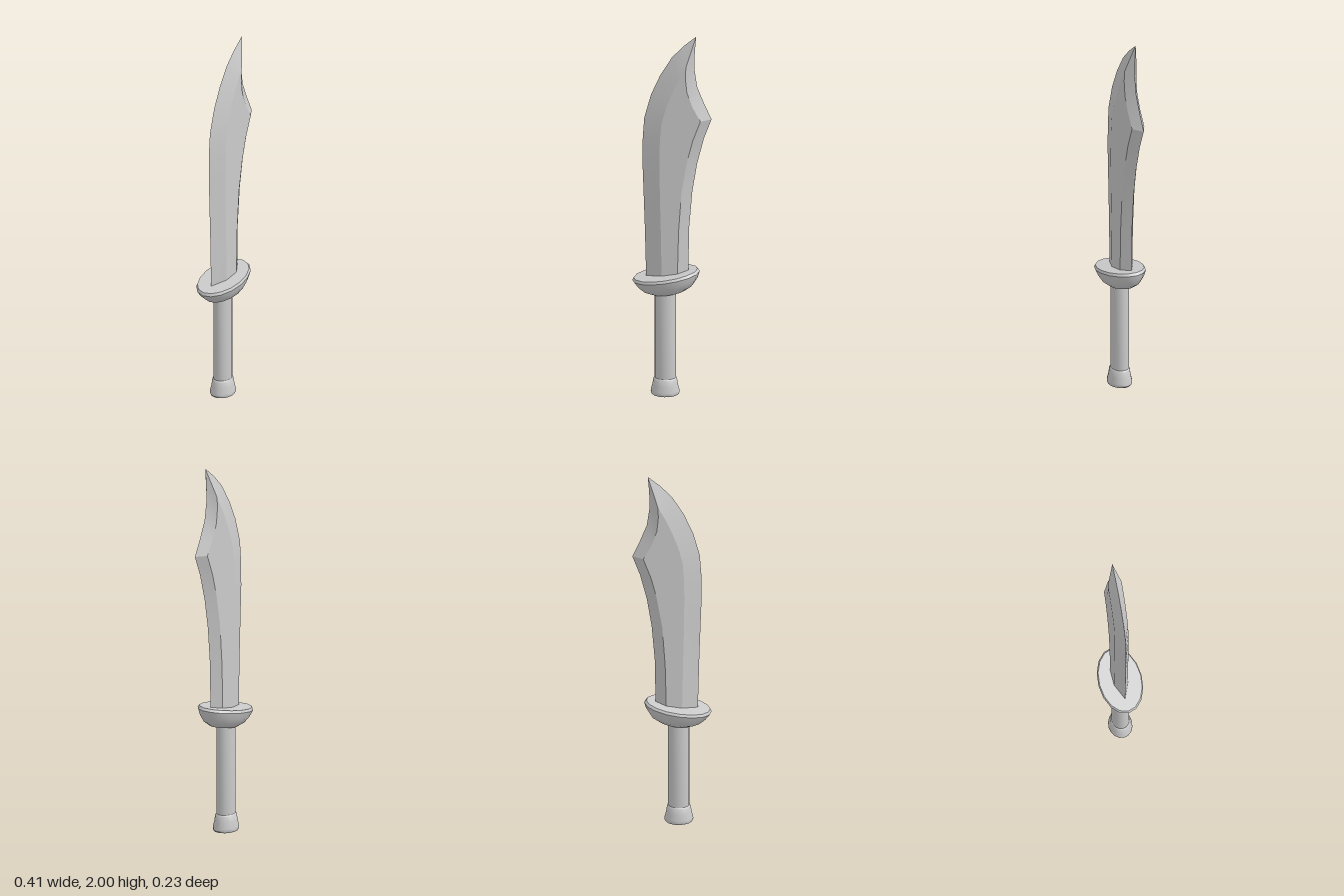
import * as THREE from 'three';
import { toCreasedNormals } from 'three/addons/utils/BufferGeometryUtils.js';

const material = new THREE.MeshStandardMaterial({ color: 0xcccccc });

function addPart(group, name, geometry, crease) {
  const mesh = new THREE.Mesh(toCreasedNormals(geometry, crease), material);
  mesh.name = name;
  group.add(mesh);
  return mesh;
}

function lathe(profile, sides, zScale) {
  const points = profile.map(([r, y]) => new THREE.Vector2(r, y));
  return new THREE.LatheGeometry(points, sides, Math.PI / 2).scale(1, 1, zScale);
}

// Blade: each row runs spine edge, spine ridge, cutting ridge, cutting edge
function bladeGeometry() {
  const T = 0.037;
  const rows = [
    [[-0.133, 0.63], [-0.05, 0.63], [0.03, 0.63], [0.085, 0.63]],
    [[-0.14, 0.92], [-0.055, 0.92], [0.037, 0.92], [0.088, 0.92]],
    [[-0.147, 1.13], [-0.06, 1.13], [0.052, 1.14], [0.105, 1.13]],
    [[-0.153, 1.3], [-0.062, 1.3], [0.08, 1.31], [0.13, 1.29]],
    [[-0.151, 1.43], [-0.06, 1.42], [0.11, 1.43], [0.165, 1.43]],
    [[-0.143, 1.54], [-0.052, 1.52], [0.15, 1.54], [0.205, 1.54]],
    [[-0.108, 1.67], [-0.028, 1.61], [0.108, 1.62], [0.165, 1.63]],
    [[-0.06, 1.78], [0.002, 1.69], [0.08, 1.7], [0.13, 1.72]],
    [[0, 1.88], [0.037, 1.77], [0.072, 1.78], [0.116, 1.82]],
    [[0.06, 1.945], [0.075, 1.84], [0.075, 1.84], [0.118, 1.91]],
    [[0.125, 2], [0.125, 2], [0.125, 2], [0.125, 2]],
  ];
  const last = rows.length - 1;
  const positions = [];
  const tri = (a, b, c) => {
    const area = new THREE.Triangle(a, b, c).getArea();
    if (area < 1e-7) return;
    // front face, then its mirror on the back
    for (const p of [a, b, c]) positions.push(p.x, p.y, p.z);
    for (const p of [a, c, b]) positions.push(p.x, p.y, -p.z);
  };
  const at = (i, j) => {
    const thick = i < last && (j === 1 || j === 2);
    return new THREE.Vector3(rows[i][j][0], rows[i][j][1], thick ? T : 0);
  };
  for (let i = 0; i < last; i++) {
    for (let j = 0; j < 3; j++) {
      tri(at(i, j), at(i, j + 1), at(i + 1, j + 1));
      tri(at(i, j), at(i + 1, j + 1), at(i + 1, j));
    }
  }
  const geometry = new THREE.BufferGeometry();
  geometry.setAttribute('position', new THREE.Float32BufferAttribute(positions, 3));
  return geometry;
}

export function createModel() {
  const group = new THREE.Group();
  group.name = 'sword';

  addPart(group, 'blade', bladeGeometry(), 0.3);

  // Tilted oval bowl guard
  const guard = addPart(group, 'guard', lathe([
    [0, -0.1], [0.088, -0.1], [0.13, -0.078], [0.16, -0.043],
    [0.177, -0.01], [0.168, 0.004], [0, 0.004],
  ], 16, 0.65), 0.6);
  guard.position.set(-0.032, 0.668, 0);
  guard.rotation.z = 0.174;

  // Oval grip
  const grip = addPart(group, 'grip', lathe([[0.055, 0.05], [0.055, 0.62]], 16, 0.83), 0.6);
  grip.position.x = -0.035;

  // Flared pommel
  const pommel = addPart(group, 'pommel', lathe([
    [0, 0], [0.07, 0], [0.075, 0.008], [0.074, 0.022], [0.066, 0.052],
    [0.061, 0.085], [0.055, 0.092],
  ], 16, 0.83), 0.6);
  pommel.position.x = -0.035;

  return group;
}
